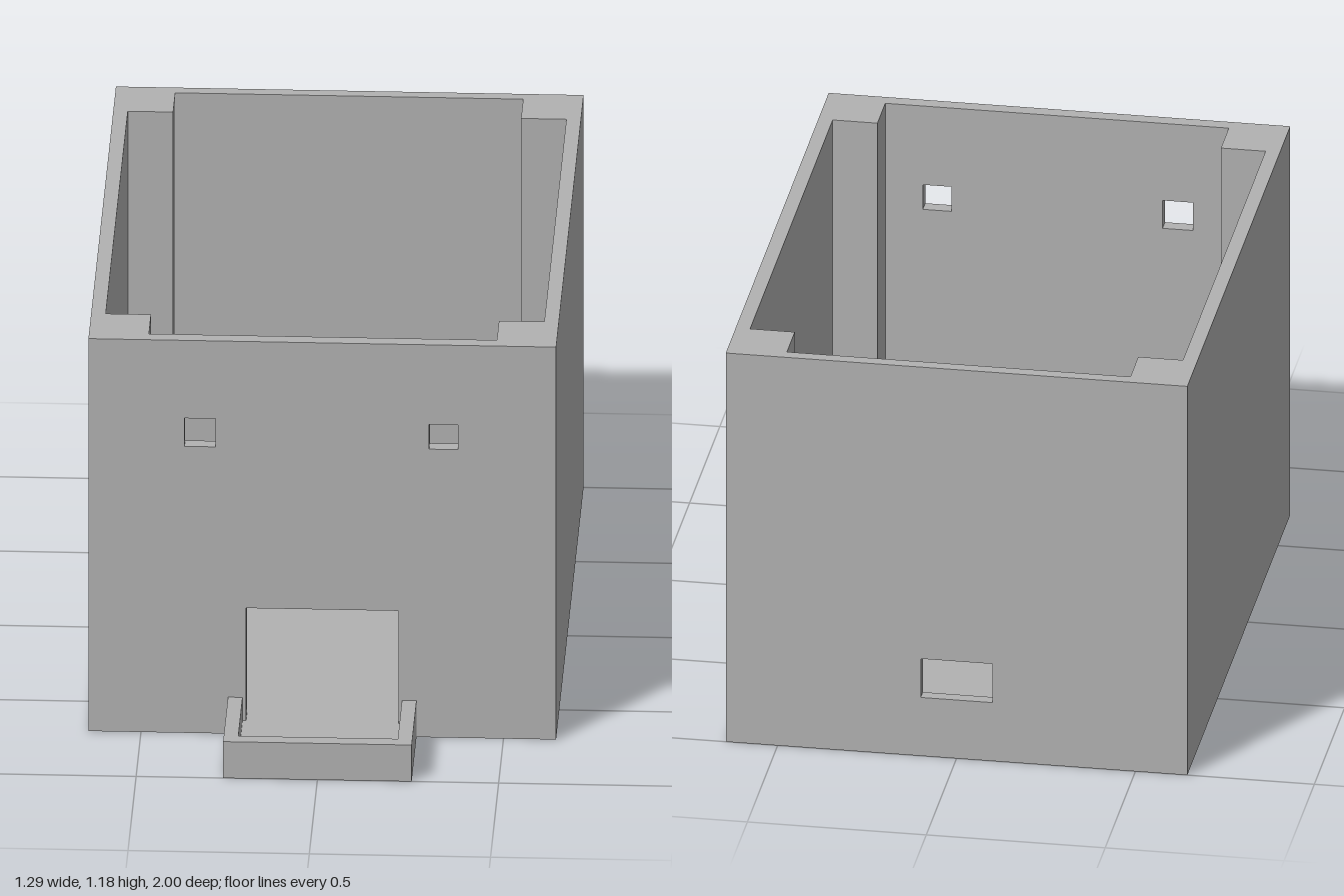
import * as THREE from 'three';

const H = 1.185, FLOOR = 0.04, RIM = 0.11;   // heights
const X = 0.645, XI = 0.605, XP = 0.48;      // outer wall, inner wall, post edge
const ZF = 0.7, ZFI = 0.66, ZFP = 0.53;      // front: outer, inner, post edge
const ZB = -1, ZBI = -0.965, ZBP = -0.835;   // back: outer, inner, post edge
const DOOR = 0.21, TRAY = 0.26, TRAY_IN = 0.22;

const toShape = pts => new THREE.Shape(pts.map(([a, b]) => new THREE.Vector2(a, b)));

// Raises a floor-plan outline of [x, z] points to a height
function plan(pts, height) {
  const g = new THREE.ExtrudeGeometry(toShape(pts.map(([x, z]) => [x, -z])), { depth: height, bevelEnabled: false });
  return g.rotateX(-Math.PI / 2);
}

// Upright panel of [x, y] points with rectangular openings [x0, x1, y0, y1]
function panel(pts, openings, z0, z1) {
  const s = toShape(pts);
  for (const [x0, x1, y0, y1] of openings) {
    s.holes.push(new THREE.Path([[x0, y0], [x0, y1], [x1, y1], [x1, y0]].map(p => new THREE.Vector2(...p))));
  }
  return new THREE.ExtrudeGeometry(s, { depth: z1 - z0, bevelEnabled: false }).translate(0, 0, z0);
}

export function createModel() {
  const model = new THREE.Group();
  const grey = new THREE.MeshStandardMaterial({ color: 0xb2b2b2 });
  grey.name = 'plain grey';
  const add = (name, geometry) => {
    const mesh = new THREE.Mesh(geometry, grey);
    mesh.name = name;
    model.add(mesh);
  };

  // Side walls, each with its two square corner posts
  for (const [name, s] of [['leftWall', 1], ['rightWall', -1]]) {
    const outline = [
      [X, ZF], [X, ZB], [XP, ZB], [XP, ZBP], [XI, ZBP], [XI, ZFP], [XP, ZFP], [XP, ZF],
    ];
    add(name, plan(outline.map(([x, z]) => [s * x, z]), H));
  }

  // Front wall with doorway and two small square windows
  add('frontWall', panel(
    [[-XP, 0], [-DOOR, 0], [-DOOR, 0.38], [DOOR, 0.38], [DOOR, 0], [XP, 0], [XP, H], [-XP, H]],
    [[-0.38, -0.295, 0.865, 0.95], [0.295, 0.375, 0.87, 0.945]], ZFI, ZF));

  // Back wall with one slot
  add('backWall', panel([[-XP, 0], [XP, 0], [XP, H], [-XP, H]],
    [[-0.1, 0.1, 0.178, 0.296]], ZB, ZBI));

  // Floor running through the doorway into the tray
  const half = [
    [XP, ZBI], [XP, ZBP], [XI, ZBP], [XI, ZFP], [XP, ZFP], [XP, ZFI],
    [DOOR, ZFI], [DOOR, ZF], [TRAY_IN, ZF], [TRAY_IN, 0.96],
  ];
  const mirrored = half.map(([x, z]) => [-x, z]).reverse();
  add('floor', plan([...half, ...mirrored], FLOOR));

  // Raised rim around the tray
  add('trayRim', plan([
    [TRAY, ZF], [TRAY, 1], [-TRAY, 1], [-TRAY, ZF],
    [-TRAY_IN, ZF], [-TRAY_IN, 0.96], [TRAY_IN, 0.96], [TRAY_IN, ZF],
  ], RIM));

  return model;
}
